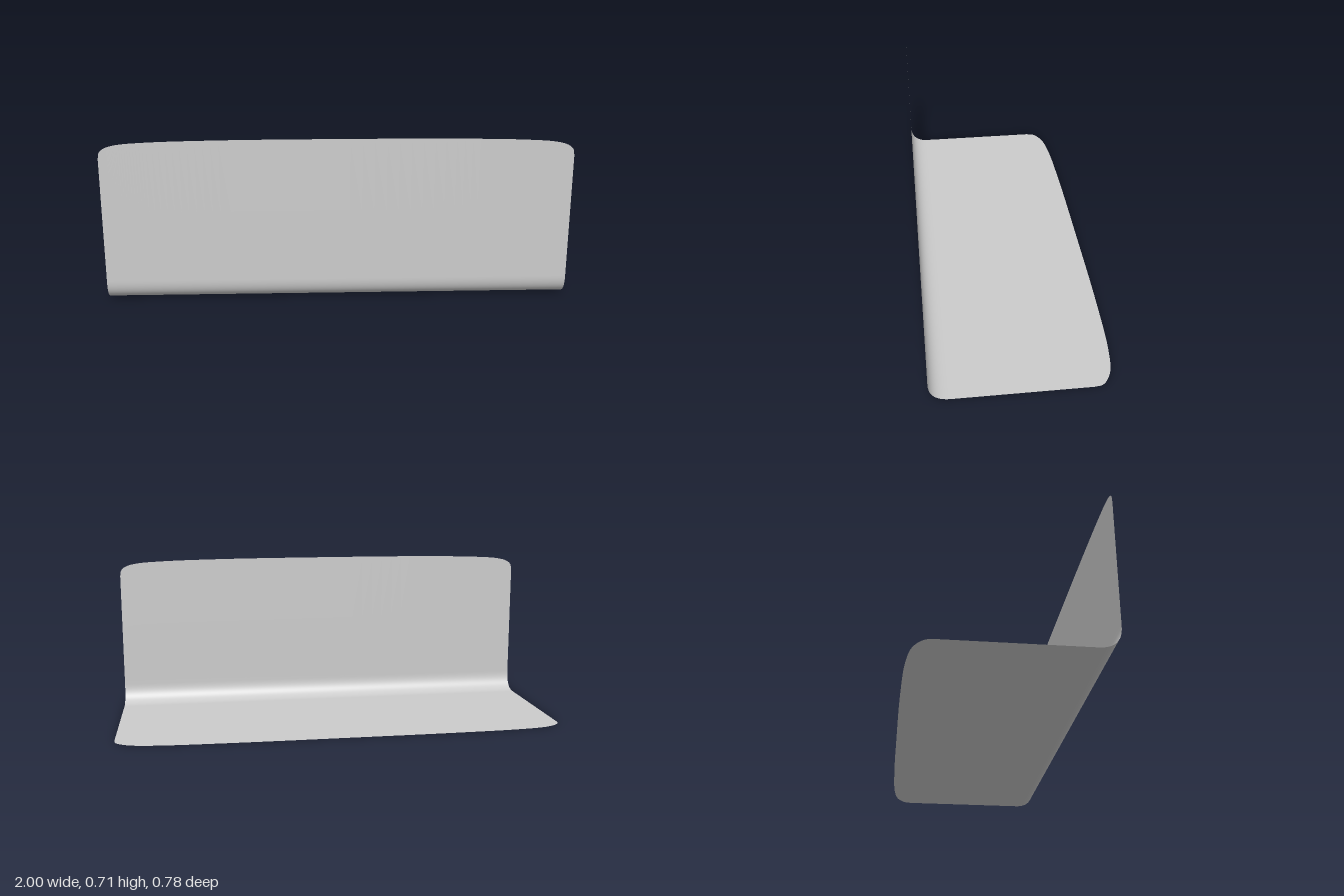
import * as THREE from 'three';

export function createModel() {
  const group = new THREE.Group();
  const FRONT = 0.39, BEND = 0.09, COLS = 120;

  // Free rim from the middle to one end: x, top of the wall, back of the floor
  const half = [
    [0, 0.713, -0.39], [0.5, 0.711, -0.388], [0.8, 0.704, -0.378], [0.92, 0.695, -0.36],
    [0.97, 0.682, -0.336], [0.993, 0.664, -0.313], [1, 0.635, -0.28],
  ];
  const mirrored = half.slice(1).reverse().map(([x, y, z]) => [-x, y, z]);
  const rim = new THREE.CatmullRomCurve3(
    [...mirrored, ...half].map((p) => new THREE.Vector3(...p)), false, 'centripetal');

  // Rounded fold between floor and wall (x holds z, y holds height)
  const fold = new THREE.QuadraticBezierCurve(
    new THREE.Vector2(FRONT - BEND, 0), new THREE.Vector2(FRONT, 0), new THREE.Vector2(FRONT, BEND),
  ).getPoints(16);

  // Section at one station: flat floor, fold, upright wall
  const section = ({ y: top, z: back }) => [
    ...[0, 0.5, 0.95].map((t) => [0, THREE.MathUtils.lerp(back, FRONT - BEND, t)]),
    ...fold.map((p) => [p.y, p.x]),
    ...[0.05, 0.5, 1].map((t) => [THREE.MathUtils.lerp(BEND, top, t), FRONT]),
  ];

  // Sweep the section along the rim
  const positions = [], index = [];
  let rows = 0;
  for (let i = 0; i <= COLS; i++) {
    const station = rim.getPoint(i / COLS);
    const points = section(station);
    rows = points.length;
    for (const [y, z] of points) positions.push(station.x, y, z);
  }
  for (let i = 0; i < COLS; i++) {
    for (let j = 0; j < rows - 1; j++) {
      const a = i * rows + j, b = a + rows;
      index.push(a, a + 1, b, b, a + 1, b + 1);
    }
  }
  const geometry = new THREE.BufferGeometry();
  geometry.setAttribute('position', new THREE.Float32BufferAttribute(positions, 3));
  geometry.setIndex(index);
  geometry.computeVertexNormals();

  const sheet = new THREE.Mesh(geometry, new THREE.MeshStandardMaterial({
    color: 0xcccccc, side: THREE.DoubleSide,
  }));
  sheet.name = 'foldedSheet';
  group.add(sheet);
  return group;
}
